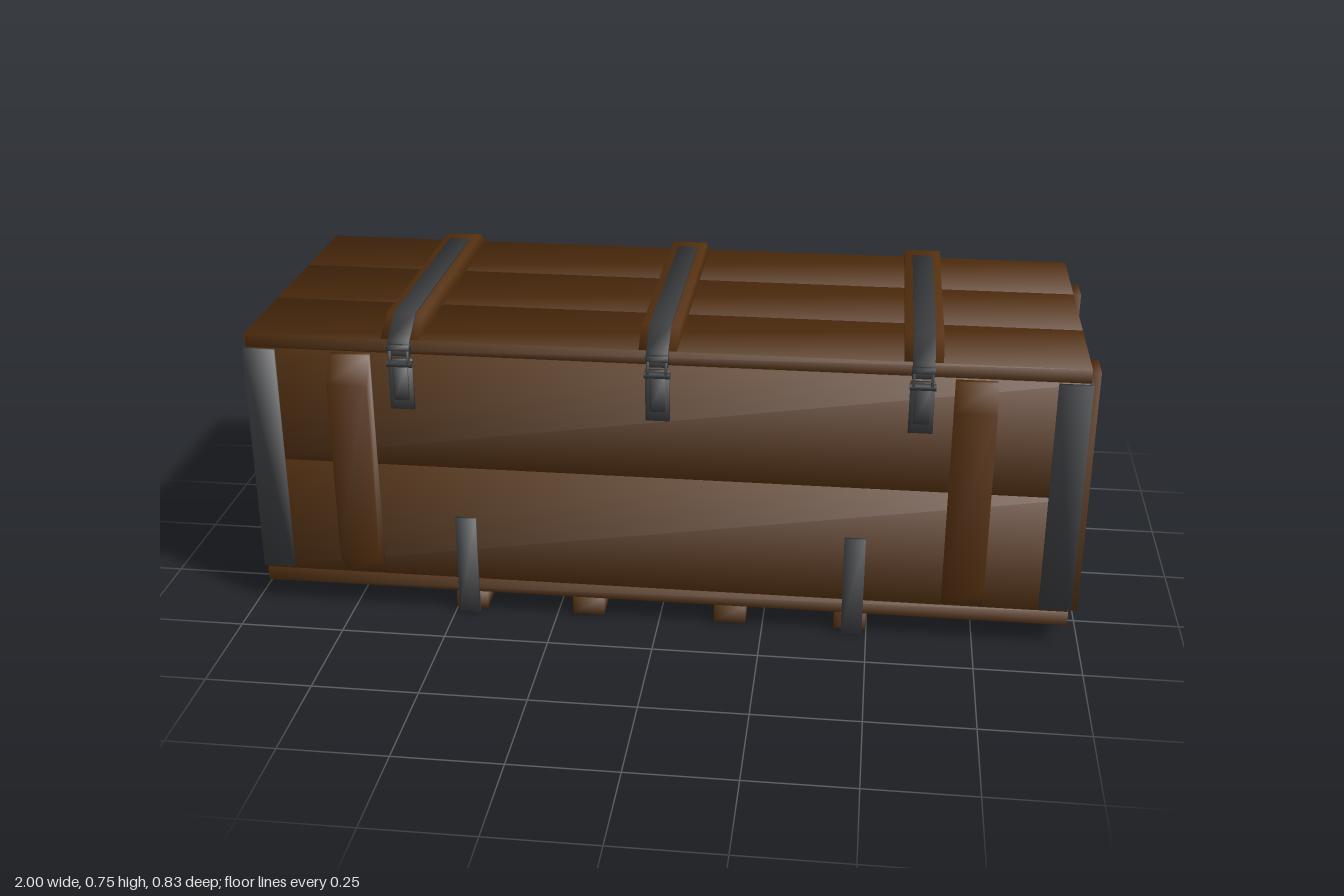
import * as THREE from 'three';

const wood = new THREE.MeshStandardMaterial({ color: 0x55300f });
wood.name = 'brown wood';
const metal = new THREE.MeshStandardMaterial({ color: 0x3a3b3d });
metal.name = 'dark metal';

// Soft shading: each corner takes the mean of the distinct face directions meeting there
function soften(geometry) {
  const g = geometry.index ? geometry.toNonIndexed() : geometry;
  g.computeVertexNormals();
  const p = g.attributes.position, n = g.attributes.normal, corners = new Map();
  const key = i => [p.getX(i), p.getY(i), p.getZ(i)].map(v => Math.round(v * 1e4)).join();
  for (let i = 0; i < p.count; i++) {
    const v = new THREE.Vector3().fromBufferAttribute(n, i);
    if (!corners.has(key(i))) corners.set(key(i), []);
    const list = corners.get(key(i));
    if (!list.some(o => o.dot(v) > 0.99)) list.push(v);
  }
  for (let i = 0; i < p.count; i++) {
    const s = new THREE.Vector3();
    corners.get(key(i)).forEach(v => s.add(v));
    s.normalize();
    n.setXYZ(i, s.x, s.y, s.z);
  }
  return g;
}

export function createModel() {
  const crate = new THREE.Group();
  crate.name = 'crate';

  const add = (name, geometry, material) => {
    const mesh = new THREE.Mesh(geometry, material);
    mesh.name = name;
    crate.add(mesh);
    return mesh;
  };
  // Box given by its extents
  const box = (name, material, x0, x1, y0, y1, z0, z1) => {
    const g = new THREE.BoxGeometry(Math.abs(x1 - x0), y1 - y0, Math.abs(z1 - z0));
    g.translate((x0 + x1) / 2, (y0 + y1) / 2, (z0 + z1) / 2);
    return add(name, soften(g), material);
  };
  const extrude = (points, depth) => new THREE.ExtrudeGeometry(
    new THREE.Shape(points.map(([a, b]) => new THREE.Vector2(a, b))),
    { depth, bevelEnabled: false });
  // Profile of [z, y] points swept along x
  const profileX = (name, material, points, x, width) => {
    const g = extrude(points, width);
    g.rotateY(-Math.PI / 2).translate(x + width / 2, 0, 0);
    return add(name, soften(g), material);
  };

  // Floor and lid, three planks each
  const seams = [-0.37, -0.125, 0.125, 0.37];
  for (let i = 0; i < 3; i++) {
    box('floorPlank', wood, -0.97, 0.97, 0.055, 0.09, seams[i], seams[i + 1]);
    box('lidPlank', wood, -0.97, 0.97, 0.672, 0.705, seams[i], seams[i + 1]);
  }

  // Walls, two boards high
  for (const [y0, y1] of [[0.09, 0.385], [0.385, 0.67]]) {
    for (const s of [-1, 1]) {
      box('sideBoard', wood, -0.968, 0.968, y0, y1, s * 0.34, s * 0.368);
      box('endBoard', wood, s * 0.94, s * 0.968, y0, y1, -0.34, 0.34);
    }
  }

  for (const sx of [-1, 1]) {
    for (const sz of [-1, 1]) {
      // Chamfered upright battens on the long walls
      profileX('sideBatten', wood, [[0.366, 0.095], [0.375, 0.098], [0.415, 0.155],
        [0.415, 0.605], [0.375, 0.664], [0.366, 0.668]].map(([z, y]) => [sz * z, y]), sx * 0.72, 0.095);
      // Upright battens on the ends
      box('endBatten', wood, sx * 0.966, sx, 0.055, 0.67, sz * 0.22, sz * 0.298);
      // Metal corner angles
      const angle = extrude([[0.9, 0.366], [0.9, 0.376], [0.976, 0.376], [0.976, 0.3],
        [0.966, 0.3], [0.966, 0.366]].map(([x, z]) => [sx * x, -sz * z]), 0.57);
      angle.rotateX(-Math.PI / 2).translate(0, 0.098, 0);
      add('cornerAngle', soften(angle), metal);
    }
  }

  // Skids, the outer two wrapped by metal straps
  for (const x of [-0.46, -0.172, 0.172, 0.46]) {
    box('skid', wood, x - 0.038, x + 0.038, 0.008, 0.055, -0.368, 0.368);
  }
  for (const x of [-0.465, 0.465]) {
    profileX('skidStrap', metal, [[-0.377, 0.255], [-0.377, 0], [0.377, 0], [0.377, 0.255],
      [0.367, 0.255], [0.367, 0.008], [-0.367, 0.008], [-0.367, 0.255]], x, 0.05);
  }

  // Lid battens, straps and latches
  for (const x of [-0.6, 0, 0.6]) {
    profileX('lidBatten', wood,
      [[-0.368, 0.705], [-0.305, 0.745], [0.305, 0.745], [0.368, 0.705]], x, 0.088);
    profileX('lidStrap', metal, [[-0.25, 0.743], [-0.25, 0.75], [0.307, 0.75], [0.378, 0.706],
      [0.378, 0.668], [0.37, 0.668], [0.37, 0.703], [0.305, 0.743]], x, 0.05);
    box('latchPlate', metal, x - 0.028, x + 0.028, 0.535, 0.66, 0.366, 0.377);
    box('latchLever', metal, x - 0.018, x + 0.018, 0.56, 0.645, 0.375, 0.383);
    const pin = new THREE.CylinderGeometry(0.008, 0.008, 0.06, 10);
    pin.rotateZ(Math.PI / 2).translate(x, 0.65, 0.381);
    add('latchPin', pin, metal);
    for (const s of [-1, 1]) {
      box('latchLink', metal, x + s * 0.018, x + s * 0.024, 0.645, 0.695, 0.376, 0.388);
    }
    box('latchCatch', metal, x - 0.026, x + 0.026, 0.685, 0.698, 0.372, 0.39);
  }

  // Hinges at the back
  for (const [x, w] of [[-0.487, 0.085], [0, 0.14], [0.487, 0.085]]) {
    box('hingeLeaf', metal, x - w / 2, x + w / 2, 0.645, 0.7, -0.375, -0.366);
    const knuckle = new THREE.CylinderGeometry(0.007, 0.007, w, 10);
    knuckle.rotateZ(Math.PI / 2).translate(x, 0.671, -0.375);
    add('hingeKnuckle', knuckle, metal);
  }

  // Handle plates with rivets and wire grips
  for (const s of [-1, 1]) {
    box('handlePlate', metal, s * 0.966, s * 0.975, 0.395, 0.535, -0.125, 0.125);
    for (const z of [-0.093, 0.093]) {
      for (const y of [0.421, 0.514]) {
        const rivet = new THREE.SphereGeometry(0.007, 10, 6);
        rivet.scale(0.6, 1, 1).translate(s * 0.975, y, z);
        add('rivet', rivet, metal);
      }
    }
    const path = new THREE.CatmullRomCurve3([[0.979, 0.468, -0.055], [0.979, 0.468, 0.058],
      [0.981, 0.458, 0.068], [0.986, 0.4, 0.068], [0.987, 0.393, 0.058], [0.987, 0.397, -0.06],
      [0.986, 0.404, -0.068], [0.981, 0.458, -0.064]]
      .map(([x, y, z]) => new THREE.Vector3(s * x, y, z)), true, 'catmullrom', 0.2);
    add('handleGrip', new THREE.TubeGeometry(path, 64, 0.0035, 6, true), metal);
  }
  return crate;
}
